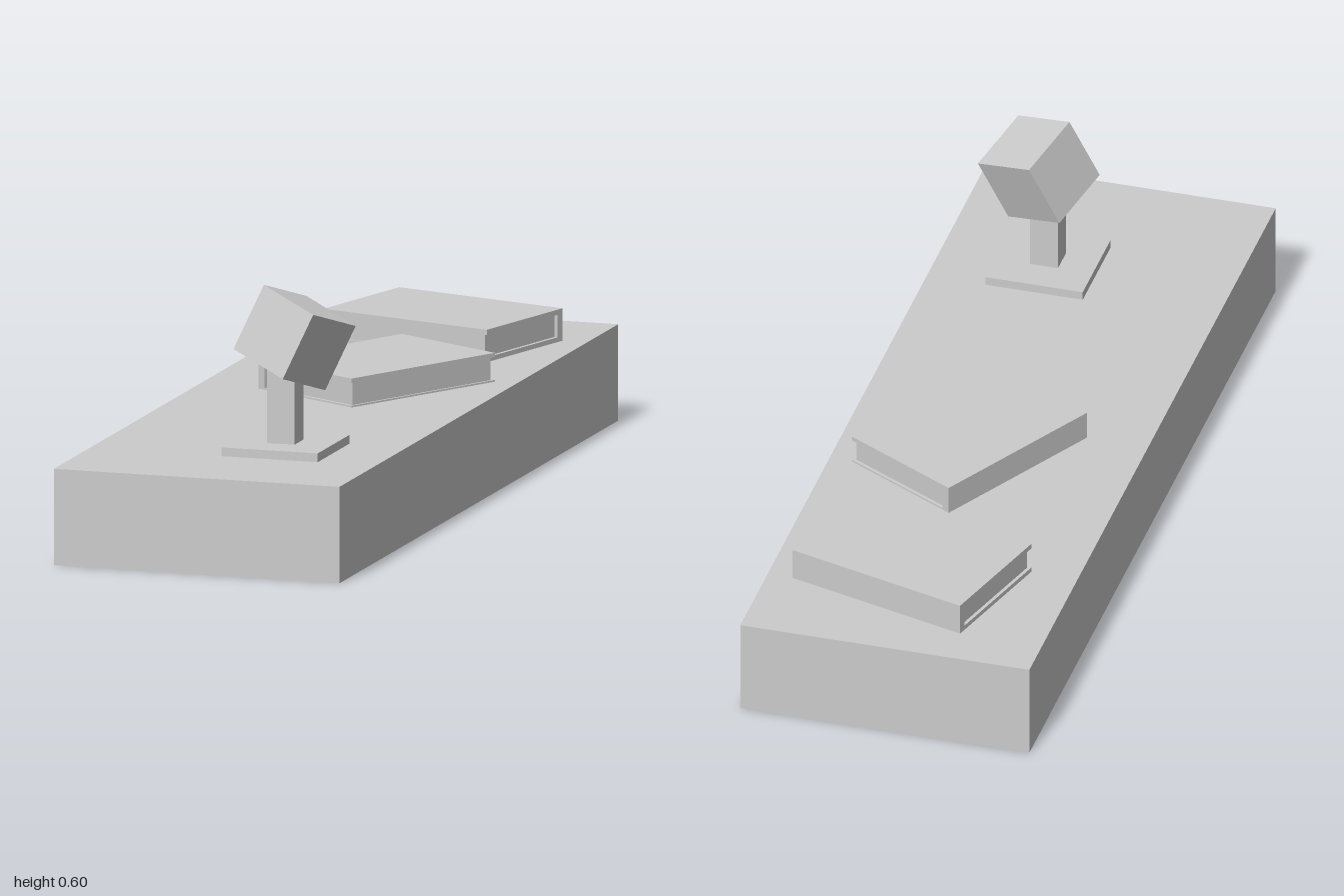
import * as THREE from 'three';

const material = new THREE.MeshStandardMaterial({ color: 0xcccccc, flatShading: true });

function box(name, size, position) {
  const mesh = new THREE.Mesh(new THREE.BoxGeometry(...size), material);
  mesh.name = name;
  mesh.position.set(...position);
  return mesh;
}

// Book lying flat: spine along local -z, page block set in from the covers
function book(name, height, bottom, top) {
  const length = 0.441, width = 0.304, spine = 0.02, endInset = 0.008, foreInset = 0.005;
  const inner = height - bottom - top;
  const pageWidth = width - spine - foreInset;
  const group = new THREE.Group();
  group.name = name;
  group.add(
    box('bottomCover', [length, bottom, width], [0, bottom / 2, 0]),
    box('topCover', [length, top, width], [0, height - top / 2, 0]),
    box('spine', [length, inner, spine], [0, bottom + inner / 2, -width / 2 + spine / 2]),
    box('pages', [length - 2 * endInset, inner, pageWidth],
      [0, bottom + inner / 2, -width / 2 + spine + pageWidth / 2])
  );
  return group;
}

export function createModel() {
  const model = new THREE.Group();
  model.name = 'shelfWithBooks';
  const shelfTop = 0.22;

  // Shelf slab
  model.add(box('shelf', [0.674, shelfTop, 2], [0, shelfTop / 2, 0]));

  // Two books
  const backBook = book('backBook', 0.074, 0.011, 0.012);
  backBook.position.set(0.025, shelfTop, -0.692);
  backBook.rotation.y = -0.275;
  const middleBook = book('middleBook', 0.066, 0.004, 0.01);
  middleBook.position.set(0.045, shelfTop, -0.155);
  middleBook.rotation.y = 1.071;
  model.add(backBook, middleBook);

  // Ornament: tilted cube on a post and square foot
  const ornament = new THREE.Group();
  ornament.name = 'ornament';
  const cube = box('tiltedCube', [0.161, 0.161, 0.161], [0.107, 0.477, 0.623]);
  cube.rotation.set(-0.327, -0.334, -0.428);
  ornament.add(
    box('foot', [0.227, 0.02, 0.227], [0.087, shelfTop + 0.01, 0.628]),
    box('post', [0.065, 0.2, 0.065], [0.087, shelfTop + 0.12, 0.628]),
    cube
  );
  model.add(ornament);
  return model;
}
